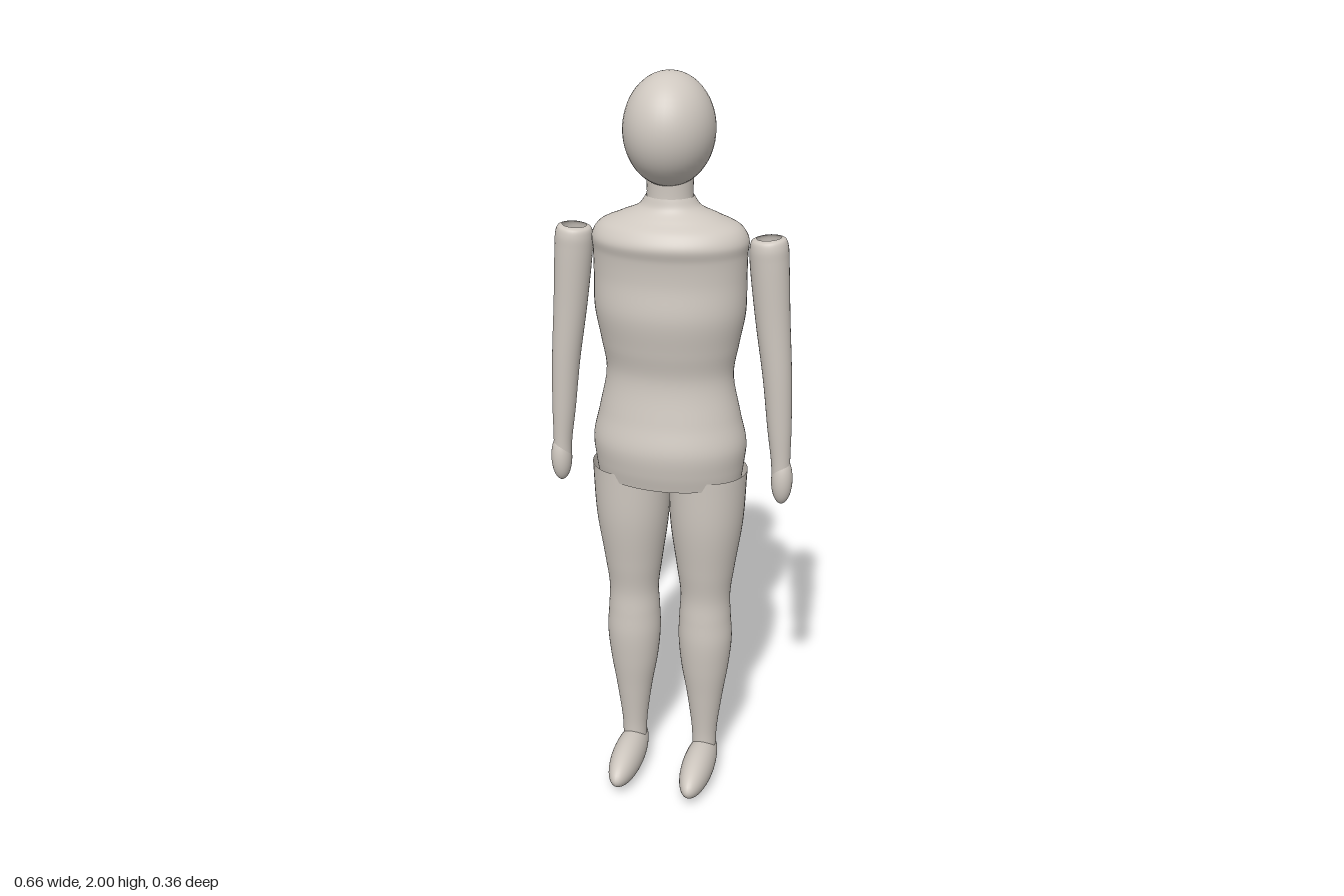
import * as THREE from 'three';

const BODY_Z = -0.036;

// Smooth tube through sections [y, centreX, radiusX, radiusZ], listed from the bottom up.
// tilt raises each ring along x so that it stays square to a slanted limb.
function loft(sections, { steps = 48, sides = 40, tilt = 0 } = {}) {
  const centre = new THREE.CatmullRomCurve3(sections.map(([y, x]) => new THREE.Vector3(x, y, 0)), false, 'centripetal');
  const radii = new THREE.CatmullRomCurve3(sections.map(([y, , rx, rz]) => new THREE.Vector3(rx, y, rz)), false, 'centripetal');
  const positions = [];
  const index = [];
  for (let i = 0; i <= steps; i++) {
    const c = centre.getPoint(i / steps);
    const r = radii.getPoint(i / steps);
    for (let j = 0; j < sides; j++) {
      const a = (j / sides) * Math.PI * 2;
      const dx = Math.cos(a) * r.x;
      positions.push(c.x + dx, r.y + dx * tilt, BODY_Z + Math.sin(a) * r.z);
      if (i === steps) continue;
      const p = i * sides + j;
      const q = i * sides + ((j + 1) % sides);
      index.push(p, p + sides, q, q, p + sides, q + sides);
    }
  }
  const geometry = new THREE.BufferGeometry();
  geometry.setAttribute('position', new THREE.Float32BufferAttribute(positions, 3));
  geometry.setIndex(index);
  geometry.computeVertexNormals();
  return geometry;
}

function ellipsoid(rx, ry, rz, x, y, z) {
  return new THREE.SphereGeometry(1, 40, 28).scale(rx, ry, rz).translate(x, y, z);
}

export function createModel() {
  const model = new THREE.Group();
  model.name = 'mannequin';
  const clay = new THREE.MeshStandardMaterial({ name: 'warm grey', color: 0xcfc8c0, side: THREE.DoubleSide });

  const add = (name, geometry, parent = model) => {
    const mesh = new THREE.Mesh(geometry, clay);
    mesh.name = name;
    parent.add(mesh);
  };

  // Head and neck
  add('head', ellipsoid(0.113, 0.138, 0.127, 0, 1.862, -0.028));
  add('neck', loft([
    [1.67, 0, 0.06, 0.055],
    [1.71, 0, 0.058, 0.053],
    [1.77, 0, 0.06, 0.054],
  ], { steps: 8 }));

  // Torso, open at the hips
  add('torso', loft([
    [0.945, 0, 0.194, 0.127],
    [0.99, 0, 0.2, 0.137],
    [1.05, 0, 0.205, 0.142],
    [1.13, 0, 0.188, 0.125],
    [1.24, 0, 0.168, 0.109],
    [1.32, 0, 0.18, 0.122],
    [1.41, 0, 0.196, 0.135],
    [1.5, 0, 0.197, 0.128],
    [1.56, 0, 0.198, 0.131],
    [1.595, 0, 0.2, 0.138],
    [1.625, 0, 0.183, 0.122],
    [1.65, 0, 0.132, 0.09],
    [1.675, 0, 0.078, 0.062],
    [1.7, 0, 0.06, 0.054],
  ], { steps: 90, sides: 56 }));

  for (const [side, s] of [['left', 1], ['right', -1]]) {
    // Arm, open at the shoulder
    const arm = new THREE.Group();
    arm.name = side + 'Arm';
    add(side + 'ArmTube', loft([
      [0.96, s * 0.302, 0.025, 0.025],
      [1.01, s * 0.299, 0.025, 0.026],
      [1.1, s * 0.293, 0.031, 0.031],
      [1.24, s * 0.283, 0.037, 0.037],
      [1.4, s * 0.266, 0.044, 0.042],
      [1.55, s * 0.253, 0.049, 0.048],
      [1.585, s * 0.251, 0.048, 0.048],
      [1.602, s * 0.25, 0.043, 0.043],
      [1.608, s * 0.25, 0.031, 0.031],
    ], { steps: 60, sides: 32, tilt: s * 0.08 }), arm);
    add(side + 'Hand', ellipsoid(0.028, 0.068, 0.031, s * 0.304, 0.957, BODY_Z), arm);
    model.add(arm);

    // Leg, open at the top, and foot
    const leg = new THREE.Group();
    leg.name = side + 'Leg';
    add(side + 'LegTube', loft([
      [0.085, s * 0.104, 0.034, 0.035],
      [0.14, s * 0.104, 0.036, 0.037],
      [0.26, s * 0.104, 0.051, 0.051],
      [0.36, s * 0.103, 0.067, 0.064],
      [0.45, s * 0.103, 0.075, 0.071],
      [0.52, s * 0.102, 0.072, 0.069],
      [0.59, s * 0.102, 0.069, 0.067],
      [0.68, s * 0.102, 0.08, 0.08],
      [0.82, s * 0.103, 0.099, 0.099],
      [0.97, s * 0.105, 0.105, 0.105],
    ], { steps: 60 }), leg);
    add(side + 'Foot', ellipsoid(0.045, 0.055, 0.144, s * 0.104, 0.056, 0.035), leg);
    model.add(leg);
  }
  return model;
}
